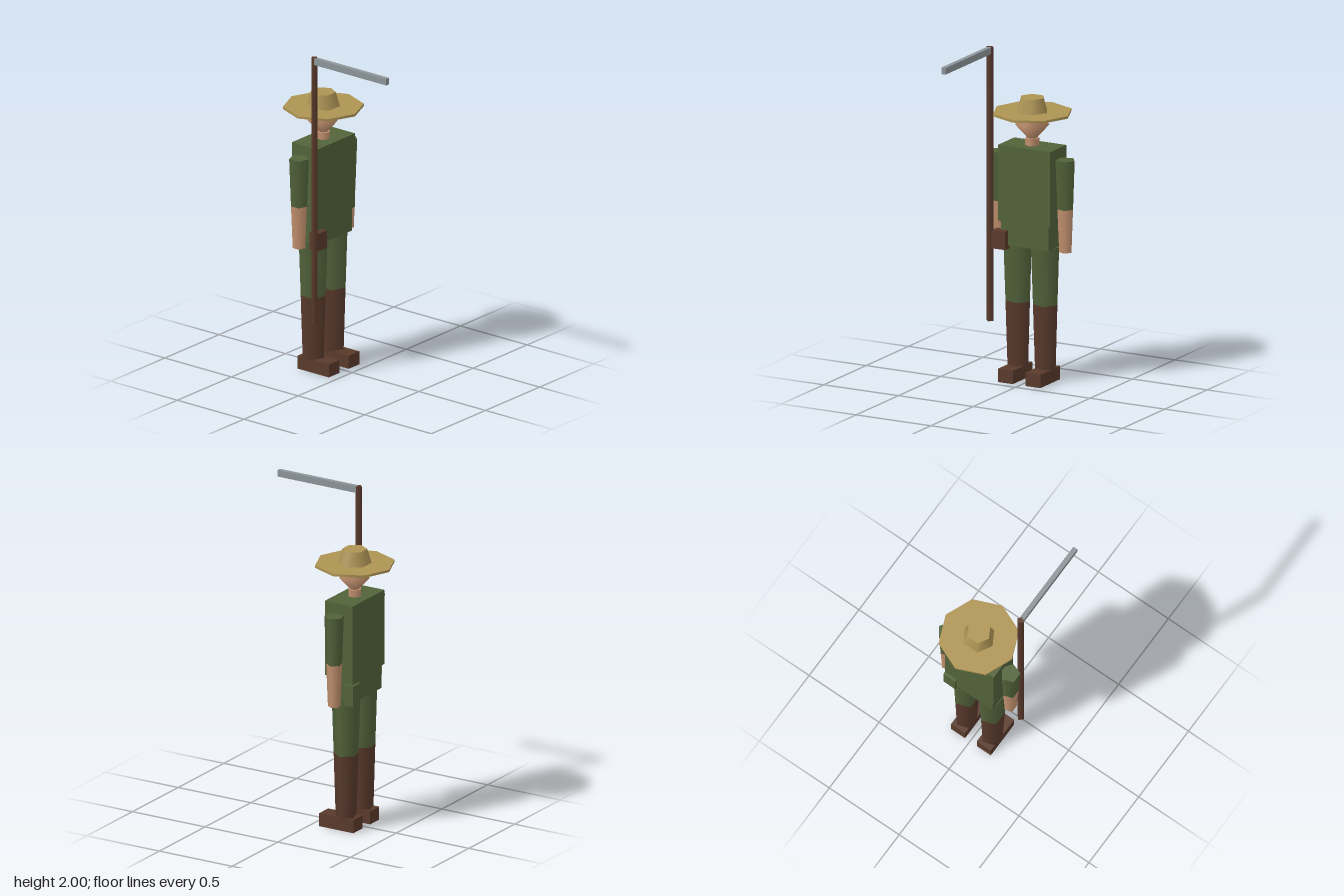
import * as THREE from 'three';

export function createModel() {
  const model = new THREE.Group();
  const mat = (name, color) => {
    const m = new THREE.MeshStandardMaterial({ color });
    m.name = name;
    return m;
  };
  const green = mat('uniformGreen', 0x52633a);
  const skin = mat('skin', 0xc4926f);
  const brown = mat('leatherBrown', 0x5a3a2c);
  const straw = mat('straw', 0xae9454);
  const steel = mat('steel', 0x8d959a);

  // The figure stands behind the blade, on its own centre line
  const CX = -0.007, CZ = -0.211;

  const add = (name, geometry, material, x, y, z) => {
    const mesh = new THREE.Mesh(geometry, material);
    mesh.name = name;
    mesh.position.set(x, y, z);
    model.add(mesh);
    return mesh;
  };
  // Box given by its min and max corners
  const box = (name, material, x0, x1, y0, y1, z0, z1) =>
    add(name, new THREE.BoxGeometry(x1 - x0, y1 - y0, z1 - z0), material,
      (x0 + x1) / 2, (y0 + y1) / 2, (z0 + z1) / 2);
  // Tapered upright prism between two heights
  const prism = (name, material, sides, x, z, y0, y1, r0, r1, turn = 0) => {
    const mesh = add(name, new THREE.CylinderGeometry(r1, r0, y1 - y0, sides),
      material, x, (y0 + y1) / 2, z);
    mesh.rotation.y = turn;
    return mesh;
  };

  // Torso and hips
  box('torso', green, CX - 0.174, CX + 0.174, 0.955, 1.412, -0.306, -0.114);
  box('hips', green, CX - 0.159, CX + 0.159, 0.81, 0.955, -0.296, -0.124);

  // Neck and faceted head
  prism('neck', skin, 6, CX, CZ, 1.41, 1.455, 0.041, 0.041);
  const head = add('head', new THREE.SphereGeometry(0.1, 6, 2), skin, CX, 1.535, CZ);
  head.rotation.y = Math.PI / 2;
  head.scale.y = 1.1;

  // Wide hat
  prism('hatBrim', straw, 8, CX, CZ, 1.6, 1.615, 0.237, 0.237);
  prism('hatCrown', straw, 6, CX, CZ, 1.61, 1.7, 0.1, 0.073, Math.PI / 6);

  // Limbs: five-sided, with one edge facing the left
  for (const [side, s] of [['left', 1], ['right', -1]]) {
    const arm = CX + s * 0.224, leg = CX + s * 0.092, t = Math.PI / 2;
    prism(side + 'Sleeve', green, 5, arm, CZ, 1.055, 1.35, 0.049, 0.06, t);
    prism(side + 'Forearm', skin, 5, arm, CZ, 0.795, 1.055, 0.0385, 0.049, t);
    prism(side + 'Trouser', green, 5, leg, CZ, 0.465, 0.815, 0.0765, 0.088, t);
    prism(side + 'Boot', brown, 5, leg, CZ, 0.075, 0.465, 0.0645, 0.0765, t);
    box(side + 'Foot', brown, leg - 0.05, leg + 0.05, 0, 0.08, -0.29, -0.055);
  }

  // Pouches at the hips
  box('frontPouch', brown, -0.21, -0.12, 0.79, 0.9, -0.15, -0.09);
  box('sidePouch', green, 0.09, 0.175, 0.795, 0.92, -0.312, -0.25);

  // Long tool with a forward blade
  prism('pole', brown, 4, -0.227, -0.1, 0.35, 2, 0.0225, 0.0225);
  box('blade', steel, -0.241, -0.213, 1.96, 2, -0.09, 0.45);

  return model;
}
